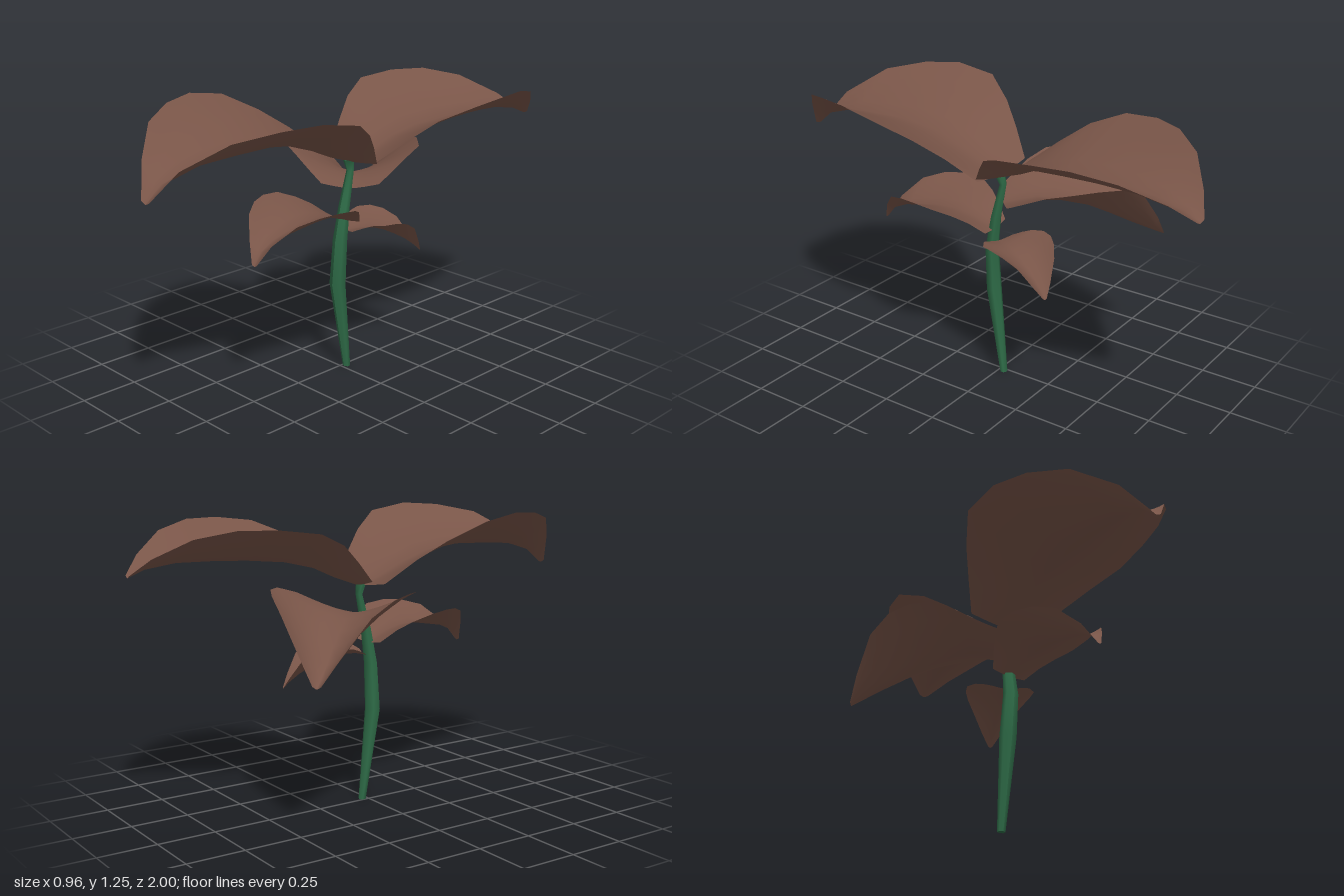
import * as THREE from 'three';

const leafMaterial = new THREE.MeshStandardMaterial({ color: 0x795548, side: THREE.DoubleSide });
const stemMaterial = new THREE.MeshStandardMaterial({ color: 0x2e6b47 });

// Shared leaf outline: position along the midrib and relative half width
const ALONG = [0, 0.1, 0.2, 0.33, 0.5, 0.65, 0.8, 0.93, 1];
const OUTLINE = [0.42, 0.62, 0.81, 1, 0.97, 0.84, 0.61, 0.28, 0.06];

// A folded leaf lofted from base to tip; mid and edge give heights per row
function makeLeaf({ name, base, tip, width, mid, edge }) {
  const across = 8;
  const dx = tip[0] - base[0], dz = tip[1] - base[1];
  const length = Math.hypot(dx, dz);
  const side = [-dz / length, dx / length];
  const positions = [], index = [];
  ALONG.forEach((s, i) => {
    for (let j = 0; j <= across; j++) {
      const t = (j / across) * 2 - 1;
      const w = t * OUTLINE[i] * width;
      positions.push(
        base[0] + dx * s + side[0] * w,
        mid[i] + (edge[i] - mid[i]) * Math.abs(t) ** 1.4,
        base[1] + dz * s + side[1] * w
      );
      if (i && j) {
        const d = i * (across + 1) + j, c = d - 1;
        const b = d - across - 1, a = b - 1;
        index.push(a, b, c, b, d, c);
      }
    }
  });
  const geometry = new THREE.BufferGeometry();
  geometry.setAttribute('position', new THREE.Float32BufferAttribute(positions, 3));
  geometry.setIndex(index);
  geometry.computeVertexNormals();
  const leaf = new THREE.Mesh(geometry, leafMaterial);
  leaf.name = name;
  return leaf;
}

// Six-sided bent stem; each ring is [y, x, z, radiusX, radiusZ]
function makeStem() {
  const rings = [
    [0, 0.015, -0.025, 0.018, 0.016],
    [0.4, 0.013, 0.028, 0.038, 0.032],
    [0.6, 0.028, 0.028, 0.034, 0.028],
    [0.75, 0.03, 0.005, 0.026, 0.022],
    [0.9, 0.03, -0.03, 0.016, 0.016],
    [0.95, 0.035, -0.015, 0.027, 0.022],
  ];
  const last = rings.length - 1;
  const geometry = new THREE.CylinderGeometry(1, 1, 1, 6, last);
  const p = geometry.attributes.position;
  for (let i = 0; i < p.count; i++) {
    const [y, x, z, rx, rz] = rings[Math.round((p.getY(i) + 0.5) * last)];
    p.setXYZ(i, x + p.getX(i) * rx, y, z + p.getZ(i) * rz);
  }
  geometry.computeVertexNormals();
  const stem = new THREE.Mesh(geometry, stemMaterial);
  stem.name = 'stem';
  return stem;
}

const LEAVES = [
  {
    name: 'frontUpperLeaf', base: [0.025, -0.02], tip: [0.025, 1], width: 0.405,
    mid: [0.94, 0.975, 1.02, 1.065, 1.085, 1.08, 1.07, 1.03, 0.97],
    edge: [0.96, 1.06, 1.14, 1.215, 1.245, 1.235, 1.2, 1.1, 0.98],
  },
  {
    name: 'backUpperLeaf', base: [0.04, -0.04], tip: [0.19, -1], width: 0.385,
    mid: [0.94, 0.975, 1.02, 1.05, 1.065, 1.07, 1.07, 1.05, 1.02],
    edge: [0.97, 1.06, 1.14, 1.195, 1.215, 1.215, 1.18, 1.1, 1.03],
  },
  {
    name: 'backRightLeaf', base: [0.03, -0.03], tip: [-0.44, -0.54], width: 0.29,
    mid: [0.82, 0.83, 0.84, 0.83, 0.795, 0.75, 0.7, 0.66, 0.64],
    edge: [0.84, 0.88, 0.92, 0.95, 0.957, 0.945, 0.89, 0.75, 0.65],
  },
  {
    name: 'frontLowerLeaf', base: [0.03, 0.01], tip: [0.09, 0.555], width: 0.21,
    mid: [0.69, 0.71, 0.73, 0.745, 0.745, 0.73, 0.715, 0.685, 0.635],
    edge: [0.7, 0.75, 0.785, 0.815, 0.825, 0.82, 0.795, 0.72, 0.64],
  },
  {
    name: 'backLowerLeaf', base: [0.03, -0.01], tip: [0.16, -0.33], width: 0.15,
    mid: [0.64, 0.645, 0.645, 0.64, 0.62, 0.595, 0.565, 0.53, 0.505],
    edge: [0.65, 0.67, 0.685, 0.69, 0.69, 0.675, 0.64, 0.56, 0.51],
  },
];

export function createModel() {
  const plant = new THREE.Group();
  plant.name = 'plant';
  plant.add(makeStem(), ...LEAVES.map(makeLeaf));
  return plant;
}
